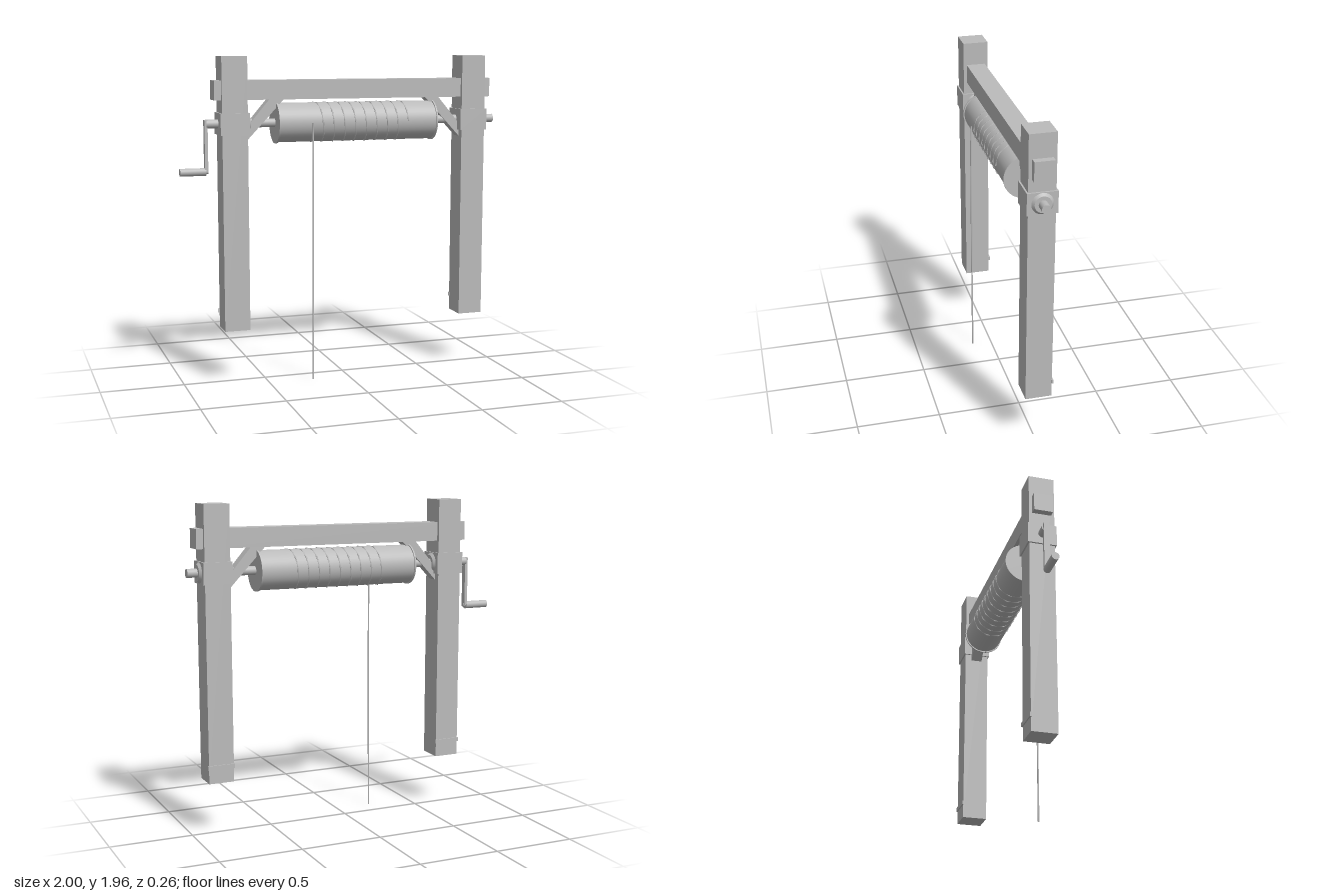
import * as THREE from 'three';

const ZC = -0.003;   // depth of the frame's centre line
const AXLE_Y = 1.565;

export function createModel() {
  const group = new THREE.Group();
  const grey = new THREE.MeshStandardMaterial({ color: 0xbbbbbb });
  grey.name = 'plain grey';

  const add = (name, geometry, x, y, z = ZC) => {
    const mesh = new THREE.Mesh(geometry, grey);
    mesh.name = name;
    mesh.position.set(x, y, z);
    group.add(mesh);
    return mesh;
  };
  const box = (name, x0, x1, y0, y1, depth, z = ZC) =>
    add(name, new THREE.BoxGeometry(x1 - x0, y1 - y0, depth), (x0 + x1) / 2, (y0 + y1) / 2, z);
  // cylinder lying along x
  const rod = (name, x0, x1, y, r0, r1 = r0, sides = 24) =>
    add(name, new THREE.CylinderGeometry(r1, r0, x1 - x0, sides).rotateZ(-Math.PI / 2), (x0 + x1) / 2, y);

  // Posts with bearing collars, hub discs, foot straps and diagonal braces
  for (const [side, cx, inward] of [['right', -0.682, 1], ['left', 0.837, -1]]) {
    box(side + 'Post', cx - 0.077, cx + 0.077, 0.325, 1.96, 0.155);
    box(side + 'Collar', cx - 0.088, cx + 0.088, 1.5, 1.63, 0.174);
    rod(side + 'HubDisc', cx + 0.088, cx + 0.102, AXLE_Y, 0.062, 0.048);
    box(side + 'FootStrap', cx - 0.082, cx + 0.082, 0.41, 0.435, 0.012, ZC - 0.079);

    const brace = new THREE.Shape([[0, 1.46], [0.235, 1.71], [0.145, 1.71], [0, 1.54]]
      .map(([dx, y]) => new THREE.Vector2(cx + inward * (0.077 + dx), y)));
    add(side + 'Brace', new THREE.ExtrudeGeometry(brace, { depth: 0.07, bevelEnabled: false }), 0, 0, ZC - 0.035);
  }

  // Cross beam through both posts
  box('crossBeam', -0.8, 0.955, 1.705, 1.82, 0.115);

  // Axle and drum with thin end flanges
  rod('axle', -0.84, 1.0, AXLE_Y, 0.026);
  rod('drum', -0.42, 0.58, AXLE_Y, 0.118, 0.118, 40);
  for (const x of [-0.424, 0.574]) rod('drumFlange', x, x + 0.009, AXLE_Y, 0.125, 0.125, 40);

  // Crank arm and handle
  box('crankArm', -0.852, -0.833, 1.285, 1.588, 0.035);
  rod('crankHandle', -1.0, -0.845, 1.283, 0.023);
  rod('crankPin', -0.85, -0.83, 1.283, 0.012);

  // Rope wound around the drum in coarse chords
  const turns = 9, pitch = 0.068, startX = -0.222;
  class Coil extends THREE.Curve {
    getPoint(t, target = new THREE.Vector3()) {
      const a = Math.PI / 2 + t * turns * Math.PI * 2;
      return target.set(startX + t * turns * pitch, 0.121 * Math.cos(a), 0.121 * Math.sin(a));
    }
  }
  add('woundRope', new THREE.TubeGeometry(new Coil(), turns * 10, 0.0045, 6), 0, AXLE_Y);

  // Rope hanging from the front of the drum
  const hang = new THREE.CatmullRomCurve3([
    new THREE.Vector3(-0.22, 1.565, 0.118),
    new THREE.Vector3(-0.22, 1.4, 0.121),
    new THREE.Vector3(-0.222, 0.8, 0.123),
    new THREE.Vector3(-0.226, 0, 0.123),
  ]);
  add('hangingRope', new THREE.TubeGeometry(hang, 12, 0.005, 6), 0, 0, 0);

  return group;
}
